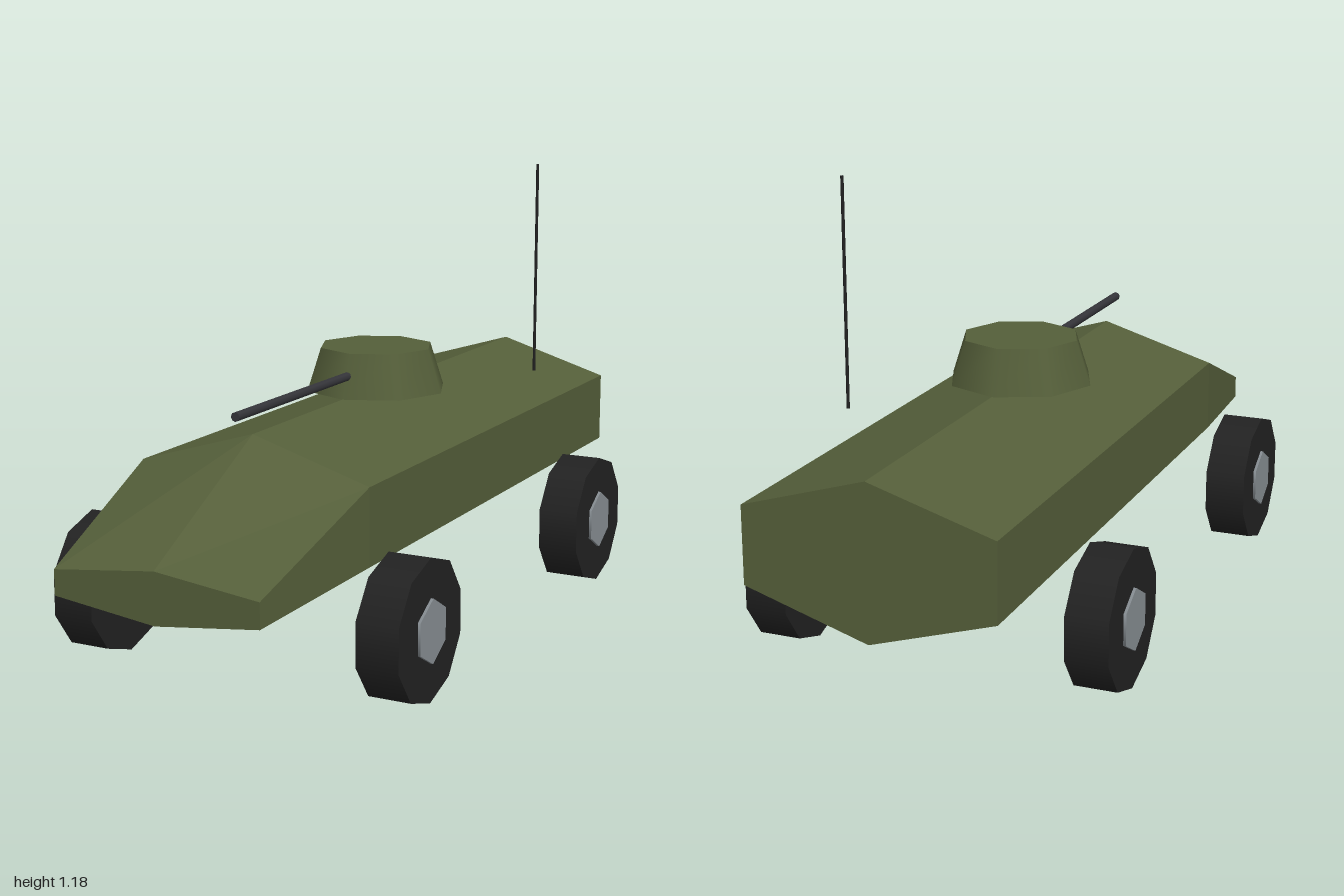
import * as THREE from 'three';

const mat = (name, color) => {
  const m = new THREE.MeshStandardMaterial({ color });
  m.name = name;
  return m;
};

// Six-sided hull section: roof ridge, upper and lower chines, keel
const section = (z, halfWidth, ridge, upper, lower, keel) => [
  [0, ridge, z], [-halfWidth, upper, z], [-halfWidth, lower, z],
  [0, keel, z], [halfWidth, lower, z], [halfWidth, upper, z],
];

// Flat-faced skin through a row of sections running from back to front
function loft(rings) {
  const pos = [];
  const tri = (a, b, c) => pos.push(...a, ...b, ...c);
  const n = rings[0].length;
  for (let r = 0; r < rings.length - 1; r++) {
    for (let i = 0; i < n; i++) {
      const j = (i + 1) % n;
      const [a, b, c, d] = [rings[r][i], rings[r][j], rings[r + 1][j], rings[r + 1][i]];
      tri(a, b, c);
      tri(a, c, d);
    }
  }
  const back = rings[0], front = rings[rings.length - 1];
  for (let i = 1; i < n - 1; i++) {
    tri(back[0], back[i + 1], back[i]);
    tri(front[0], front[i], front[i + 1]);
  }
  const g = new THREE.BufferGeometry();
  g.setAttribute('position', new THREE.Float32BufferAttribute(pos, 3));
  g.computeVertexNormals();
  return g;
}

export function createModel() {
  const olive = mat('olive paint', 0x555f3a);
  const rubber = mat('tyre rubber', 0x222222);
  const steel = mat('hub steel', 0x888f94);
  const gunmetal = mat('gunmetal', 0x35353a);

  const model = new THREE.Group();
  model.name = 'armouredCar';
  const add = (name, geometry, material, x = 0, y = 0, z = 0, parent = model) => {
    const mesh = new THREE.Mesh(geometry, material);
    mesh.name = name;
    mesh.position.set(x, y, z);
    parent.add(mesh);
    return mesh;
  };

  // Hull with a tapering nose
  add('hull', loft([
    section(-1, 0.315, 0.6, 0.505, 0.31, 0.213),
    section(0.56, 0.315, 0.6, 0.505, 0.31, 0.213),
    section(1, 0.272, 0.375, 0.343, 0.28, 0.247),
  ]), olive);

  // Turret, gun and aerial
  add('turret', new THREE.CylinderGeometry(0.155, 0.193, 0.116, 8), olive, 0, 0.657, -0.098);
  add('gunBarrel', new THREE.CylinderGeometry(0.012, 0.012, 0.58, 8).rotateX(Math.PI / 2),
    gunmetal, 0, 0.657, 0.35);
  add('antenna', new THREE.CylinderGeometry(0.004, 0.004, 0.58, 6), rubber, 0.29, 0.89, -0.515);

  // Wheels, axis along x, with a corner pointing straight up
  const disc = (radius, width, sides) =>
    new THREE.CylinderGeometry(radius, radius, width, sides, 1, false, Math.PI / 2).rotateZ(Math.PI / 2);
  const tyre = disc(0.178, 0.11, 10);
  const hub = disc(0.08, 0.124, 6);
  for (const side of [1, -1]) {
    for (const end of [1, -1]) {
      const wheel = new THREE.Group();
      wheel.name = (end > 0 ? 'front' : 'rear') + (side > 0 ? 'Left' : 'Right') + 'Wheel';
      wheel.position.set(side * 0.42, 0.178, end * 0.56);
      add('tyre', tyre, rubber, 0, 0, 0, wheel);
      add('hub', hub, steel, 0, 0, 0, wheel);
      model.add(wheel);
    }
  }
  return model;
}
